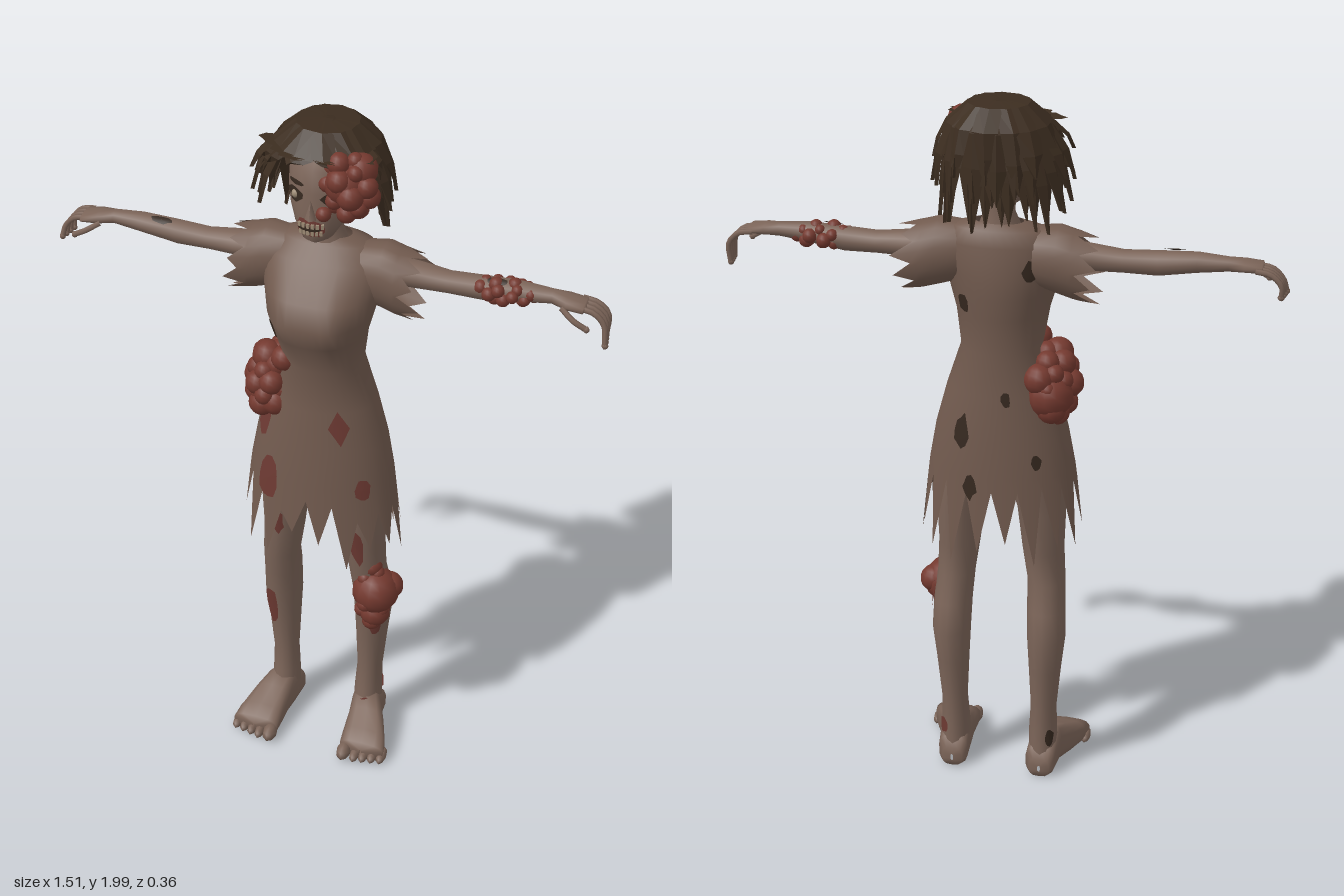
import * as THREE from 'three';
import { mergeGeometries } from 'three/addons/utils/BufferGeometryUtils.js';

const mat = (name, color, extra = {}) => {
  const m = new THREE.MeshStandardMaterial({ color, ...extra });
  m.name = name;
  return m;
};

let seed = 7;
const rand = () => (seed = (seed * 16807) % 2147483647) / 2147483647;

// Surface through rows of points; rows run downwards, columns run to the right
function surface(rows, closed) {
  const n = rows[0].length, index = [];
  for (let i = 0; i < rows.length - 1; i++) {
    for (let j = 0; j < (closed ? n : n - 1); j++) {
      const k = (j + 1) % n, a = i * n + j, b = i * n + k, c = a + n, d = b + n;
      index.push(a, c, d, a, d, b);
    }
  }
  const g = new THREE.BufferGeometry().setFromPoints(rows.flat());
  g.setIndex(index);
  g.computeVertexNormals();
  return g;
}

// Point on a body of oval sections [y, centreX, halfWidth, zFront, zBack] at height y and angle a
function at(rings, y, a, off = 0, p = 1) {
  let i = 0;
  while (i < rings.length - 2 && y < rings[i + 1][0]) i++;
  const t = (rings[i][0] - y) / (rings[i][0] - rings[i + 1][0]);
  const [, cx, rx, zf, zb] = rings[i].map((v, k) => v + (rings[i + 1][k] - v) * t);
  const f = v => Math.sign(v) * Math.abs(v) ** p;
  return new THREE.Vector3(cx + (rx + off) * f(Math.sin(a)), y,
    (zf + zb) / 2 + ((zf - zb) / 2 + off) * f(Math.cos(a)));
}

// Body through the sections; edge(j) gives a ragged lower border
function loft(rings, n, { p = 1, edge } = {}) {
  return surface(rings.map((r, i) => Array.from({ length: n }, (_, j) =>
    at(rings, edge && i === rings.length - 1 ? edge(j) : r[0], j / n * Math.PI * 2, 0, p))), true);
}

// Ragged stain lying just above a body
function patch(rings, y, a, h, w, points = 11, rough = 0.35) {
  const rows = [];
  const radii = Array.from({ length: points }, () => 1 - rand() * rough);
  for (let k = 0; k <= 3; k++) {
    rows.push(radii.map((r, j) => {
      const t = -j / points * Math.PI * 2, s = r * Math.max(k / 3, 0.01);
      return at(rings, y + h * s * Math.sin(t), a - w * s * Math.cos(t), 0.005);
    }));
  }
  return surface(rows.map(r => r.reverse()), true);
}

const DRESS = [[1.675, 0, 0.065, 0.005, -0.075], [1.66, 0, 0.125, 0.025, -0.095], [1.62, 0, 0.17, 0.06, -0.11],
  [1.54, 0, 0.155, 0.135, -0.12], [1.48, 0, 0.142, 0.16, -0.12], [1.42, 0, 0.125, 0.145, -0.115],
  [1.32, 0, 0.11, 0.1, -0.107], [1.2, 0, 0.15, 0.115, -0.12], [1.08, 0, 0.183, 0.13, -0.13],
  [0.97, 0, 0.203, 0.142, -0.137], [0.68, 0, 0.24, 0.165, -0.147]];
const HEAD = [[1.97, 0, 0.01, -0.02, -0.04], [1.95, 0, 0.065, 0.04, -0.1], [1.9, 0, 0.09, 0.08, -0.125],
  [1.84, 0, 0.093, 0.088, -0.13], [1.79, 0, 0.085, 0.092, -0.11], [1.745, 0, 0.065, 0.094, -0.06],
  [1.71, 0, 0.042, 0.09, -0.02], [1.695, 0, 0.012, 0.07, 0.03]];
const NECK = [[1.77, 0, 0.045, 0.02, -0.075], [1.7, 0, 0.04, 0.01, -0.07], [1.64, 0, 0.065, 0.025, -0.08]];
const LEG = [[1.0, 0.085, 0.085, 0.08, -0.11], [0.85, 0.115, 0.067, 0.075, -0.1], [0.72, 0.12, 0.058, 0.06, -0.08],
  [0.62, 0.13, 0.053, 0.05, -0.072], [0.54, 0.135, 0.054, 0.033, -0.1], [0.45, 0.138, 0.054, 0.022, -0.113],
  [0.35, 0.135, 0.046, 0.01, -0.1], [0.22, 0.132, 0.037, 0, -0.086], [0.14, 0.13, 0.04, 0.01, -0.086],
  [0.05, 0.13, 0.042, 0.03, -0.09]];
// Foot: z from the heel, then top and sole
const FOOT = [[0.098, 0.13, 0.004, 0.04, 0.02], [0.095, 0.13, 0.03, 0.06, 0.002], [0.08, 0.13, 0.043, 0.09, 0],
  [0.01, 0.135, 0.046, 0.135, 0], [-0.04, 0.15, 0.055, 0.11, 0], [-0.1, 0.163, 0.066, 0.08, 0],
  [-0.14, 0.168, 0.068, 0.062, 0], [-0.15, 0.168, 0.004, 0.04, 0.02]];
// Arm and sleeve: distance along x, height, half height, z front and back
const ARM = [[-0.1, 1.6, 0.04, 0.02, -0.08], [-0.25, 1.592, 0.035, 0.008, -0.075], [-0.33, 1.588, 0.03, 0, -0.066],
  [-0.42, 1.59, 0.033, 0, -0.066], [-0.52, 1.6, 0.027, -0.002, -0.062], [-0.6, 1.602, 0.019, -0.01, -0.055],
  [-0.64, 1.6, 0.017, 0.01, -0.062], [-0.685, 1.597, 0.012, 0.016, -0.062], [-0.69, 1.595, 0.002, -0.02, -0.03]];
const SLEEVE = [[-0.1, 1.585, 0.08, 0.04, -0.1], [-0.16, 1.58, 0.092, 0.048, -0.112],
  [-0.2, 1.568, 0.092, 0.05, -0.112], [-0.28, 1.55, 0.09, 0.045, -0.11]];

export function createModel() {
  const model = new THREE.Group();
  const both = { side: THREE.DoubleSide };
  const skin = mat('skin', 0x7b6458), cloth = mat('cloth', 0x715a4e, both);
  const hair = mat('hair', 0x3c2d20, { ...both, flatShading: true });
  const growth = mat('growth', 0x74392f), wound = mat('wound', 0x6c3932, both);
  const stain = mat('stain', 0x35281f, both), bone = mat('bone', 0x9a8872);
  const add = (name, geo, material, parent = model) => {
    const m = new THREE.Mesh(geo, material);
    m.name = name;
    parent.add(m);
    return m;
  };

  // Head, neck and face
  add('head', loft(HEAD, 18), skin);
  add('neck', loft(NECK, 14), skin);
  add('nose', new THREE.ConeGeometry(0.016, 0.05, 5).translate(0, 1.8, 0.095), skin);
  for (const s of [-1, 1]) {
    add('eyeSocket', patch(HEAD, 1.832, s * 0.53, 0.024, 0.36), stain);
    const e = at(HEAD, 1.83, s * 0.53);
    add('eye', new THREE.SphereGeometry(0.012, 10, 8).translate(e.x, e.y, e.z), bone);
    add('brow', patch(HEAD, 1.863, s * 0.5, 0.007, 0.32, 8, 0.1), stain);
  }
  add('mouth', patch(HEAD, 1.748, -0.1, 0.03, 0.75), wound);
  add('mouthGap', patch(HEAD, 1.748, -0.05, 0.009, 0.5).scale(1.02, 1, 1.04), stain);
  for (let i = 0; i < 12; i++) {
    const a = (i % 6 - 2.5) * 0.16, q = at(HEAD, i < 6 ? 1.757 : 1.738, a, 0.006);
    add('tooth', new THREE.BoxGeometry(0.008, 0.012, 0.008).rotateY(a).translate(q.x, q.y, q.z), bone);
  }

  // Hair: a cap under layers of pointed locks
  add('hairCap', new THREE.SphereGeometry(1, 18, 10, 0, Math.PI * 2, 0, 1.6).rotateX(-0.55)
    .scale(0.118, 0.125, 0.122).translate(0, 1.862, -0.035), hair);
  const locks = [];
  const lock = (a, tipR, tipY, w, lift, twist) => {
    const drop = 1.93 - tipY;
    const path = [[0.005, 1.982, 0.5], [0.06, 1.978, 1], [0.115, 1.93, 1.1],
      [0.115 + (tipR - 0.115) * 0.7, 1.93 - drop * 0.5, 0.9], [tipR, tipY, 0.04]];
    locks.push(surface(path.map(([r, y, k], i) => {
      const b = a + twist * i / 4;
      return [-1, 0, 1].map(c => new THREE.Vector3(0, y + lift, -0.035)
        .addScaledVector(new THREE.Vector3(Math.sin(b), 0, Math.cos(b)), r + lift + (c ? 0 : 0.01))
        .addScaledVector(new THREE.Vector3(Math.cos(b), 0, -Math.sin(b)), c * w * k));
    }), false));
  };
  for (const [count, lift, shorten] of [[26, 0, 0], [21, 0.008, 0.05], [13, 0.012, 0.1]]) {
    for (let i = 0; i < count; i++) {
      const a = (i + 0.5 + rand() * 0.4) / count * Math.PI * 2 - Math.PI, f = Math.abs(a);
      const side = Math.sin(f) ** 2;
      const tipY = f < 0.55 ? 1.91 : f < 1.15 ? 1.82 : f < 1.8 ? 1.72 : 1.67;
      const r = 0.135 + side * (a < 0 ? 0.055 : 0.03);
      lock(a, r - rand() * 0.015, Math.min(1.93, tipY + shorten + rand() * 0.05), 0.024 + rand() * 0.012, lift,
        f < 1.1 ? Math.sign(a) * 0.4 : (rand() - 0.5) * 0.3);
    }
  }
  add('hairLocks', mergeGeometries(locks), hair);

  // Dress with bust and torn hem
  const hem = j => j % 2 ? 0.7 + rand() * 0.12 : 0.86 + rand() * 0.09;
  const dress = loft(DRESS, 36, { edge: hem });
  const pos = dress.attributes.position;
  for (let i = 0; i < pos.count; i++) {
    const x = pos.getX(i), y = pos.getY(i), z = pos.getZ(i);
    if (z > 0.03) pos.setZ(i, z + 0.018 * Math.exp(-(((Math.abs(x) - 0.075) / 0.035) ** 2) - ((y - 1.48) / 0.06) ** 2));
  }
  dress.computeVertexNormals();
  add('dress', dress, cloth);
  add('neckline', patch(DRESS, 1.645, 0, 0.026, 0.5, 8, 0.1), skin);
  for (const [y, a, h, w] of [[0.96, -0.6, 0.075, 0.2], [0.97, 0.8, 0.045, 0.16], [1.13, -0.95, 0.06, 0.25]])
    add('dressBloodStain', patch(DRESS, y, a, h, w), wound);
  add('dressTear', patch(DRESS, 1.16, 0.52, 0.052, 0.19, 4, 0.05), wound);
  for (const [y, a, h, w] of [[1.1, 2.65, 0.055, 0.15], [0.94, 2.85, 0.04, 0.12], [1.46, 2.5, 0.035, 0.16],
    [1.56, -2.5, 0.04, 0.2], [1.2, -2.9, 0.025, 0.1], [1.02, -2.5, 0.028, 0.1], [1.44, -0.85, 0.035, 0.15]])
    add('dressHole', patch(DRESS, y, a, h, w), stain);

  for (const s of [-1, 1]) {
    const flip = rings => rings.map(([y, c, ...rest]) => [y, s * c, ...rest]);

    // Arm, torn sleeve and bony fingers
    const arm = new THREE.Group();
    arm.name = s > 0 ? 'leftArm' : 'rightArm';
    model.add(arm);
    const turn = g => g.rotateZ(s * Math.PI / 2);
    add('armAndPalm', turn(loft(flip(ARM), 10)), skin, arm);
    add('sleeve', turn(loft(flip(SLEEVE), 20, { edge: j => j % 2 ? -0.25 - rand() * 0.03 : -0.205 - rand() * 0.02 })), cloth, arm);
    add('armStain', turn(patch(flip(ARM), -0.46, s * 1.1, 0.035, 0.35)), stain, arm);
    for (let i = 0; i < 5; i++) {
      const z = 0.012 - i * 0.018, thumb = i === 0;
      const pts = thumb ? [[0.63, 1.595, 0.005], [0.665, 1.575, 0.022], [0.7, 1.555, 0.02]]
        : [[0.67, 1.597, z], [0.71, 1.59, z], [0.738, 1.562, z], [0.75 - i * 0.003, s > 0 ? 1.505 : 1.53, z + 0.006]];
      const curve = new THREE.CatmullRomCurve3(pts.map(([x, y, w]) => new THREE.Vector3(s * x, y, w)));
      add(thumb ? 'thumb' : 'finger', new THREE.TubeGeometry(curve, 8, 0.0075, 6), skin, arm);
      const tip = pts[pts.length - 1];
      add('fingertip', new THREE.SphereGeometry(0.009, 6, 5).translate(s * tip[0], tip[1], tip[2]), skin, arm);
    }

    // Leg, foot and toes
    const leg = new THREE.Group();
    leg.name = s > 0 ? 'leftLeg' : 'rightLeg';
    model.add(leg);
    add('legAndAnkle', loft(flip(LEG), 14), skin, leg);
    add('foot', loft(flip(FOOT), 14, { p: 0.65 }).rotateX(-Math.PI / 2), skin, leg);
    for (let i = 0; i < 5; i++) {
      const r = i ? 0.0145 : 0.021;
      add('toe', new THREE.SphereGeometry(1, 8, 6).scale(r, r * 1.15, 0.035)
        .translate(s * (i ? 0.125 + i * 0.0255 : 0.117), r * 1.15, 0.15 - i * 0.006), skin, leg);
    }
    const marks = s > 0 ? [[0.73, 0, 0.07, 0.4], [0.42, 0.5, 0.05, 0.4], [0.1, 0.1, 0.03, 0.5], [0.55, 1.8, 0.05, 0.3]]
      : [[0.41, -0.3, 0.09, 0.45], [0.76, 0.1, 0.05, 0.3]];
    for (const [y, a, h, w] of marks) add('legWound', patch(flip(LEG), y, a, h, w), wound, leg);
    add('heelStain', patch(flip(LEG), 0.13, s * 2.5, 0.035, 0.4), s > 0 ? wound : stain, leg);
  }

  // Clusters of round growths: centre, reach, number, smallest and largest radius
  const cluster = (name, c, reach, count, r0, r1, extra = []) => {
    const balls = [...extra];
    for (let i = 0; i < count; i++) {
      const u = 1 - 2 * (i + 0.5) / count, t = i * 2.4, q = Math.sqrt(1 - u * u);
      balls.push([c[0] + reach[0] * q * Math.cos(t), c[1] + reach[1] * u, c[2] + reach[2] * q * Math.sin(t),
        r0 + (r1 - r0) * rand()]);
    }
    add(name, mergeGeometries(balls.map(([x, y, z, r]) =>
      new THREE.SphereGeometry(r, 12, 9).translate(x, y, z))), growth);
  };
  cluster('faceGrowth', [0.085, 1.865, 0.055], [0.055, 0.075, 0.038], 20, 0.02, 0.035,
    [[0.08, 1.87, 0.06, 0.055], [0.115, 1.91, 0.045, 0.042], [0.03, 1.79, 0.085, 0.02]]);
  cluster('hipGrowth', [-0.135, 1.215, 0.0], [0.05, 0.085, 0.085], 36, 0.025, 0.043,
    [[-0.14, 1.2, 0.03, 0.065], [-0.14, 1.2, -0.05, 0.065], [-0.09, 1.32, 0.06, 0.035], [-0.08, 1.35, 0.05, 0.025]]);
  cluster('kneeGrowth', [0.155, 0.54, 0.02], [0.035, 0.09, 0.04], 12, 0.02, 0.032,
    [[0.165, 0.56, 0.02, 0.068], [0.165, 0.485, 0.025, 0.045], [0.2, 0.57, 0.0, 0.04], [0.15, 0.64, 0.015, 0.032]]);
  cluster('armGrowth', [0.48, 1.595, -0.03], [0.072, 0.022, 0.032], 24, 0.013, 0.021);
  return model;
}
